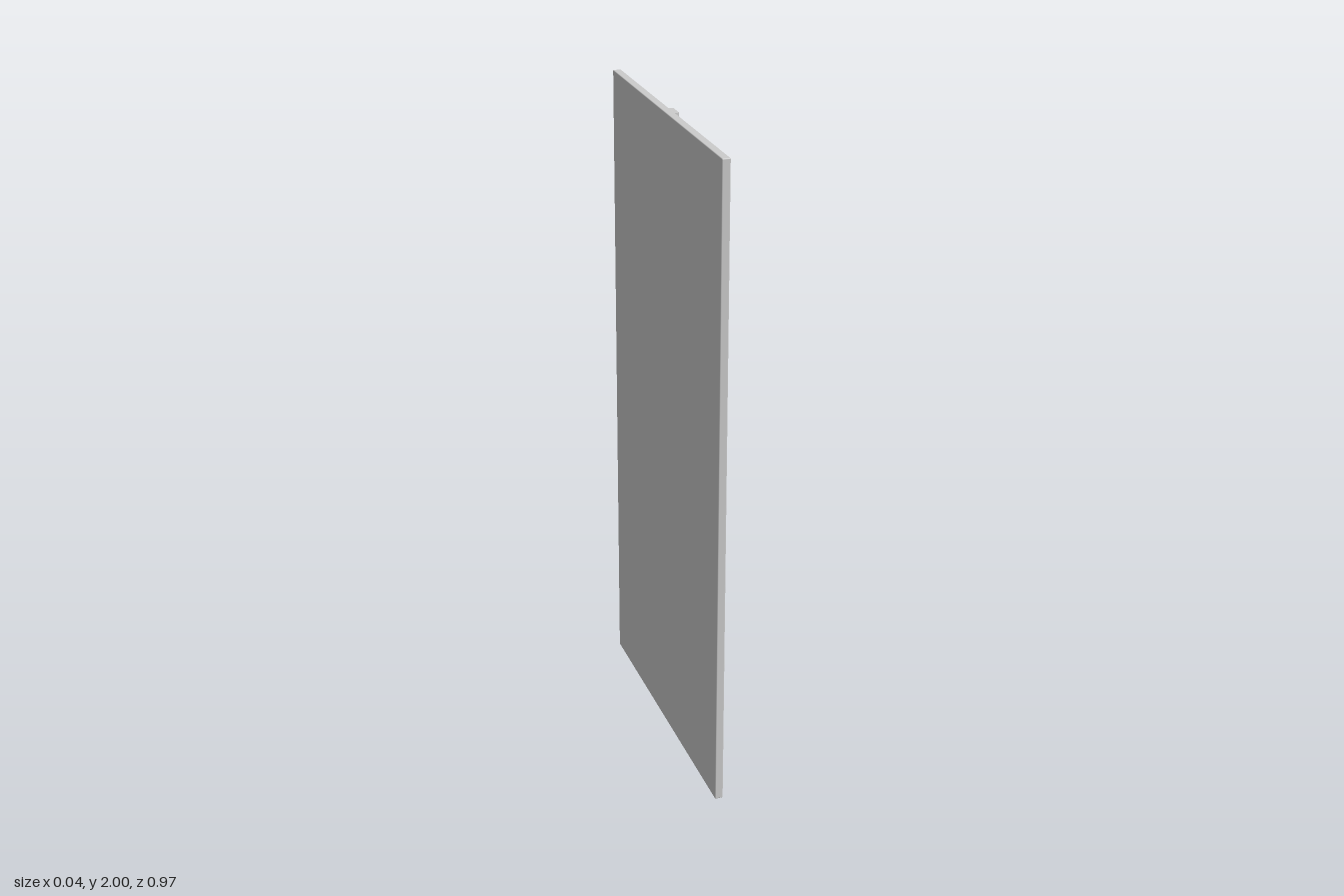
import * as THREE from 'three';
import { RoundedBoxGeometry } from 'three/addons/geometries/RoundedBoxGeometry.js';
import { toCreasedNormals } from 'three/addons/utils/BufferGeometryUtils.js';

const grey = new THREE.MeshStandardMaterial({ color: 0xcccccc });

function add(group, name, geometry, x, y, z) {
  const mesh = new THREE.Mesh(geometry, grey);
  mesh.name = name;
  mesh.position.set(x, y, z);
  group.add(mesh);
  return mesh;
}

export function createModel() {
  const model = new THREE.Group();
  model.name = 'doorPanel';

  // Thin slab with slightly softened edges
  add(model, 'slab', new RoundedBoxGeometry(0.025, 2, 0.974, 2, 0.003), -0.0065, 1, 0);

  // Raised centre strip: profile in x/z with rounded outer corners, extruded upwards
  const half = 0.027, back = 0, front = 0.019, r = 0.007;
  const profile = new THREE.Shape();
  profile.moveTo(back, -half);
  profile.lineTo(front - r, -half);
  profile.quadraticCurveTo(front, -half, front, -half + r);
  profile.lineTo(front, half - r);
  profile.quadraticCurveTo(front, half, front - r, half);
  profile.lineTo(back, half);
  profile.closePath();
  const strip = new THREE.ExtrudeGeometry(profile, { depth: 1.998, bevelEnabled: false, curveSegments: 5 });
  strip.rotateX(-Math.PI / 2);
  add(model, 'centreStrip', toCreasedNormals(strip, 0.7), 0, 0.001, 0);

  // Three pairs of small fixing tabs along the sides of the strip
  for (const y of [0.22, 0.89, 1.57]) {
    for (const side of [-1, 1]) {
      add(model, 'fixingTab', new THREE.BoxGeometry(0.006, 0.11, 0.004), 0.007, y, side * 0.0265);
    }
  }
  return model;
}
